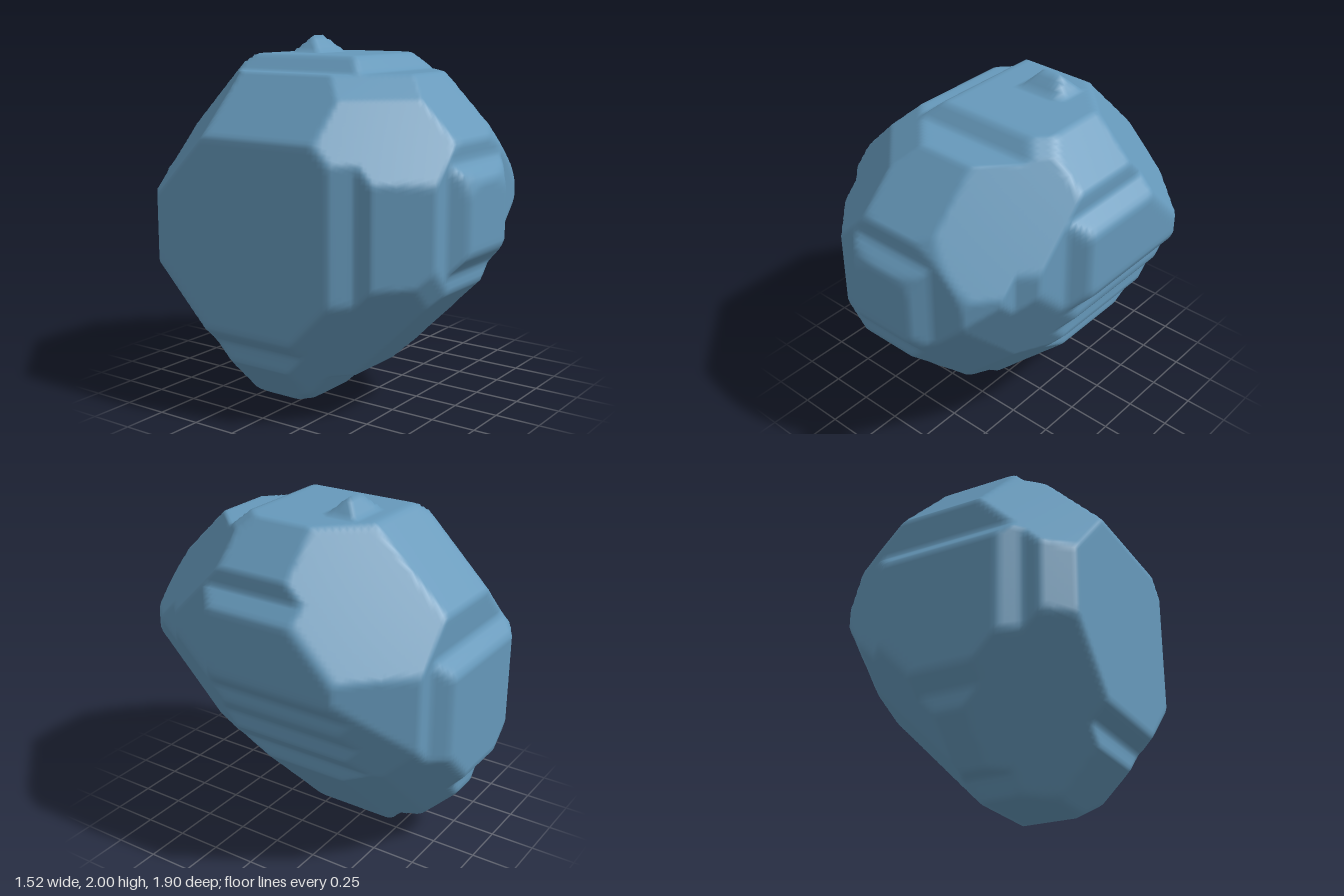
import * as THREE from 'three';
import { mergeVertices } from 'three/addons/utils/BufferGeometryUtils.js';

// Outlines of the boulder, as [u, v] corners
const frontOutline = [ // x, y
  [-0.43, 0], [-0.05, 0], [0.47, 0.53], [0.47, 0.62], [0.57, 0.72], [0.57, 0.81], [0.66, 0.91], [0.66, 1.0],
  [0.76, 1.1], [0.76, 1.48], [0.66, 1.57], [0.66, 1.67], [0.43, 1.9], [0.23, 1.9], [0.14, 2], [0.04, 2],
  [-0.05, 1.9], [-0.24, 1.9], [-0.34, 1.81], [-0.43, 1.81], [-0.76, 1.48], [-0.76, 0.43], [-0.66, 0.34], [-0.66, 0.24],
].map(([x, y]) => [x, y - 1]);
const sideOutline = [ // z, y
  [0.05, 0], [-0.43, 0], [-0.52, 0.1], [-0.62, 0.1], [-0.86, 0.34], [-0.86, 0.43], [-0.95, 0.53], [-0.95, 1.19],
  [-0.86, 1.28], [-0.86, 1.48], [-0.43, 1.9], [-0.33, 1.9], [-0.24, 2], [-0.14, 1.9], [0.24, 1.9], [0.33, 1.81],
  [0.53, 1.81], [0.86, 1.48], [0.86, 1.38], [0.95, 1.29], [0.95, 0.91], [0.86, 0.81], [0.86, 0.72], [0.34, 0.2], [0.24, 0.2],
].map(([z, y]) => [z, y - 1]);
const topOutline = [ // x, z
  [-0.43, -0.95], [0.24, -0.95], [0.34, -0.86], [0.43, -0.86], [0.76, -0.53], [0.76, 0.24], [0.66, 0.33], [0.66, 0.53],
  [0.57, 0.62], [0.57, 0.71], [0.43, 0.86], [0.24, 0.86], [0.14, 0.95], [-0.24, 0.95], [-0.33, 0.86], [-0.43, 0.86],
  [-0.66, 0.62], [-0.66, 0.53], [-0.76, 0.43], [-0.76, -0.72], [-0.62, -0.86], [-0.53, -0.86],
];

// Diagonal facets that chop the corners: direction x, y, z and reach
const cornerCuts = [
  // the eight corners
  [1, 1, 1, 1.55], [1, 1, -1, 1.53], [-1, 1, 1, 1.58], [-1, 1, -1, 1.62],
  [1, -1, 1, 1.2], [1, -1, -1, 1.48], [-1, -1, 1, 1.52], [-1, -1, -1, 1.72],
  // tapered ends of the right-hand terraces
  [2, -1, 1, 1.62], [2, -1, -1, 1.92], [2, -2, 1, 1.95], [2, -2, -1, 2.3], [2, 1, 1, 2.22], [2, 1, -1, 2.27],
  // rounding around the top and the front
  [1, 2, 1, 2.38], [-1, 2, 1, 2.27], [1, -1, 2, 2.1], [-1, -1, 2, 2.3],
  // low front chamfer and underside
  [0.47, -0.54, 0.7, 0.78], [0.29, -0.87, 0.41, 0.88], [-0.29, -0.87, 0.41, 0.99],
];

// Rounded core that softens the remaining edges
const core = new THREE.Sphere(new THREE.Vector3(-0.04, -0.02, -0.07), 1.065);

// Distance from the centre to the core along d
function reachCore(d) {
  const along = core.center.dot(d);
  return along + Math.sqrt(along * along + core.radius ** 2 - core.center.lengthSq());
}

// Distance from the centre to an outline along (du, dv)
function reach(outline, du, dv) {
  let best = Infinity;
  outline.forEach(([au, av], i) => {
    const [bu, bv] = outline[(i + 1) % outline.length];
    const eu = bu - au, ev = bv - av;
    const den = du * ev - dv * eu;
    if (Math.abs(den) < 1e-9) return;
    const t = (au * ev - av * eu) / den;
    const s = (au * dv - av * du) / den;
    if (t > 0 && s >= -1e-6 && s <= 1 + 1e-6) best = Math.min(best, t);
  });
  return best;
}

export function createModel() {
  const group = new THREE.Group();
  group.name = 'boulder';

  const stone = new THREE.MeshStandardMaterial({ color: 0x6699bb });
  stone.name = 'blue stone';

  // Evenly divided box, pushed out until it meets the outlines, cuts and core
  let geometry = new THREE.BoxGeometry(1.52, 2, 1.9, 54, 64, 62);
  geometry.deleteAttribute('uv');
  geometry.deleteAttribute('normal');
  geometry = mergeVertices(geometry, 1e-4);
  const pos = geometry.attributes.position;
  const d = new THREE.Vector3();
  for (let i = 0; i < pos.count; i++) {
    d.fromBufferAttribute(pos, i).normalize();
    let r = Math.min(
      reach(frontOutline, d.x, d.y),
      reach(sideOutline, d.z, d.y),
      reach(topOutline, d.x, d.z),
      reachCore(d),
    );
    for (const [nx, ny, nz, limit] of cornerCuts) {
      const along = nx * d.x + ny * d.y + nz * d.z;
      if (along > 0) r = Math.min(r, limit / along);
    }
    d.multiplyScalar(r);
    pos.setXYZ(i, d.x, d.y + 1, d.z);
  }
  geometry.computeVertexNormals();

  const body = new THREE.Mesh(geometry, stone);
  body.name = 'stoneBody';
  group.add(body);
  return group;
}
